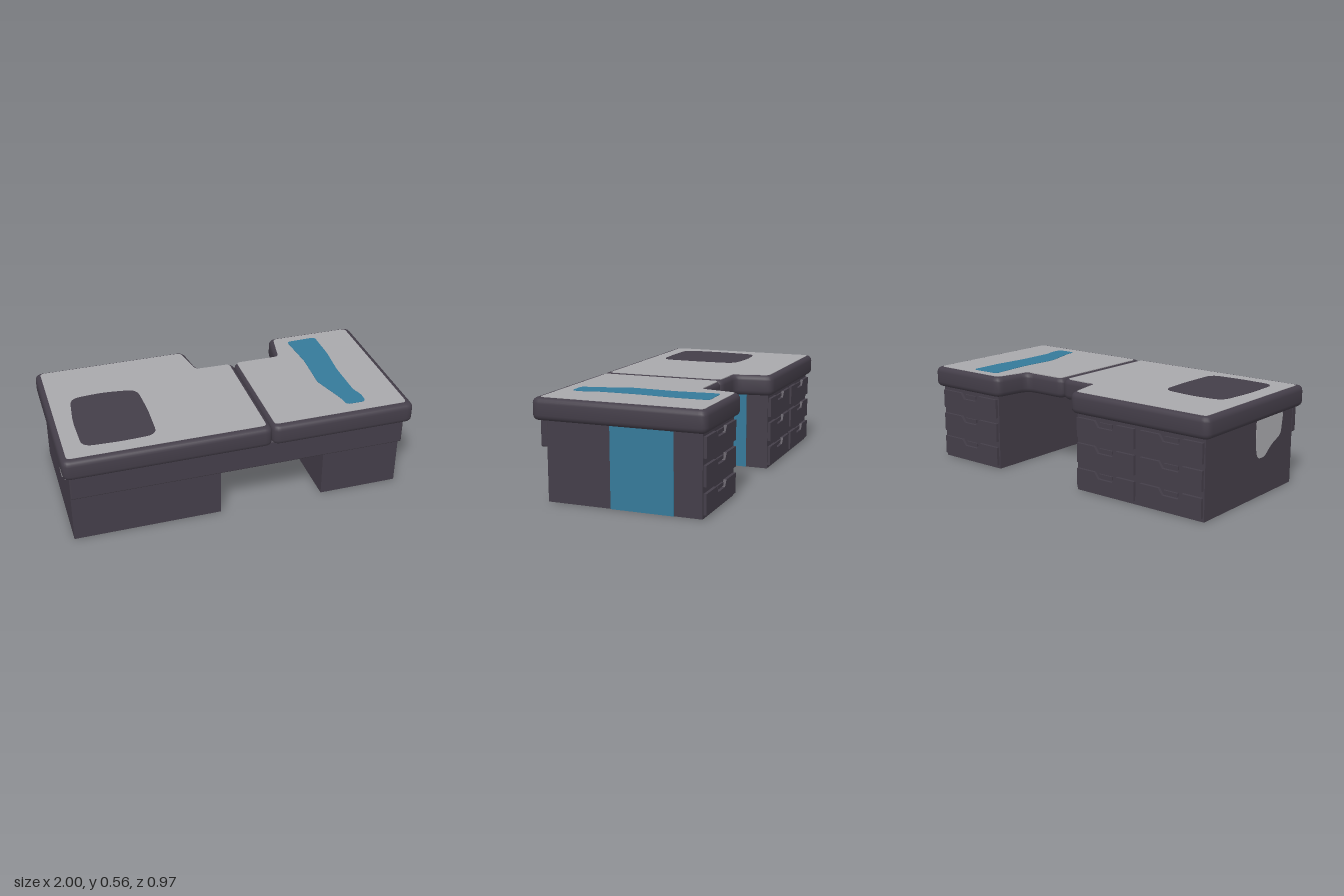
import * as THREE from 'three';
import { toCreasedNormals } from 'three/addons/utils/BufferGeometryUtils.js';
import { RoundedBoxGeometry } from 'three/addons/geometries/RoundedBoxGeometry.js';

const material = (name, color) => {
  const m = new THREE.MeshStandardMaterial({ color });
  m.name = name;
  return m;
};

// Closed outline with each corner cut by a small curve of reach r
function roundedShape(points, r = 0) {
  const pts = points.map(([x, y]) => new THREE.Vector2(x, y));
  if (!r) return new THREE.Shape(pts);
  const shape = new THREE.Shape();
  pts.forEach((p, i) => {
    const toward = (q) => p.clone().add(q.clone().sub(p).setLength(Math.min(r, q.distanceTo(p) * 0.45)));
    const a = toward(pts[(i + pts.length - 1) % pts.length]);
    const b = toward(pts[(i + 1) % pts.length]);
    if (i === 0) shape.moveTo(a.x, a.y);
    else shape.lineTo(a.x, a.y);
    shape.quadraticCurveTo(p.x, p.y, b.x, b.y);
  });
  shape.closePath();
  return shape;
}

export function createModel() {
  const group = new THREE.Group();
  const dark = material('charcoal', 0x443e49);
  const grey = material('topGrey', 0xa9a8ac);
  const blue = material('accentBlue', 0x357a9a);

  const add = (name, geometry, mat, x = 0, y = 0, z = 0) => {
    const mesh = new THREE.Mesh(geometry, mat);
    mesh.name = name;
    mesh.position.set(x, y, z);
    group.add(mesh);
    return mesh;
  };
  const box = (name, mat, [x0, x1], [y0, y1], [z0, z1]) =>
    add(name, new THREE.BoxGeometry(x1 - x0, y1 - y0, z1 - z0), mat,
      (x0 + x1) / 2, (y0 + y1) / 2, (z0 + z1) / 2);

  // Horizontal plate from an outline given in x, z
  const plate = (name, mat, outline, r, y, depth) => {
    const g = new THREE.ExtrudeGeometry(roundedShape(outline.map(([x, z]) => [x, -z]), r),
      { depth, bevelEnabled: false, curveSegments: 5 });
    g.rotateX(-Math.PI / 2);
    return add(name, g, mat, 0, y, 0);
  };

  // Two worktop slabs with rounded rims
  const slab = (name, outline) => {
    const bevel = 0.03;
    const g = new THREE.ExtrudeGeometry(roundedShape(outline.map(([x, z]) => [x, -z]), 0.045), {
      depth: 0.12 - 2 * bevel, bevelThickness: bevel, bevelSize: bevel,
      bevelOffset: -bevel, bevelSegments: 4, curveSegments: 4,
    });
    g.rotateX(-Math.PI / 2);
    add(name, toCreasedNormals(g, 0.7), dark, 0, 0.44 + bevel, 0);
  };
  slab('rightWorktop', [[-1, 0.485], [0.16, 0.485], [0.16, -0.265], [-0.06, -0.265], [-0.09, -0.485], [-1, -0.485]]);
  slab('leftWorktop', [[0.16, 0.485], [1, 0.485], [1, -0.485], [0.46, -0.485], [0.43, -0.265], [0.16, -0.265]]);

  // Grey writing surfaces
  plate('rightSurface', grey,
    [[-0.97, 0.447], [0.132, 0.447], [0.132, -0.245], [-0.075, -0.25], [-0.115, -0.457], [-0.97, -0.457]], 0.025, 0.557, 0.005);
  plate('leftSurface', grey,
    [[0.18, 0.447], [0.965, 0.447], [0.965, -0.457], [0.485, -0.457], [0.445, -0.25], [0.18, -0.25]], 0.025, 0.557, 0.005);

  // Dark mat and blue runner on the surfaces
  plate('deskMat', dark,
    [[-0.87, 0.355], [-0.66, 0.365], [-0.46, 0.355], [-0.453, 0.1], [-0.465, -0.12], [-0.66, -0.145], [-0.85, -0.13], [-0.875, 0.1]],
    0.06, 0.56, 0.004);
  plate('blueRunner', blue,
    [[0.555, -0.4], [0.74, -0.405], [0.742, -0.2], [0.725, 0], [0.728, 0.24], [0.75, 0.3], [0.747, 0.375],
      [0.63, 0.375], [0.625, 0.31], [0.562, 0.1], [0.575, -0.15]],
    0.025, 0.56, 0.004);

  // Drawer pedestals and front apron
  box('rightPedestal', dark, [-0.965, -0.12], [0, 0.45], [-0.45, 0.415]);
  box('leftPedestal', dark, [0.49, 0.955], [0, 0.45], [-0.45, 0.415]);
  add('frontApron', new RoundedBoxGeometry(1.925, 0.155, 0.042, 2, 0.008), dark, -0.005, 0.3725, 0.43);

  // Drawer fronts with a trapezoid finger notch in the top edge
  const drawer = (x0, x1) => {
    const w = (x1 - x0) / 2, h = 0.11;
    const g = new THREE.ExtrudeGeometry(roundedShape([
      [-w, 0], [w, 0], [w, h], [0.075, h], [0.05, h - 0.035], [-0.05, h - 0.035], [-0.075, h], [-w, h],
    ]), { depth: 0.018, bevelEnabled: false });
    for (const y of [0.02, 0.165, 0.31]) {
      add('drawerFront', g, dark, (x0 + x1) / 2, y, -0.467);
      box('drawerPull', dark, [(x0 + x1) / 2 - 0.045, (x0 + x1) / 2 + 0.045], [y + h - 0.025, y + h - 0.006], [-0.46, -0.449]);
    }
  };
  drawer(-0.957, -0.562);
  drawer(-0.523, -0.128);
  drawer(0.5, 0.945);

  // Blue side bands, the outer one folding just under the pedestal
  box('outerBlueBand', blue, [0.953, 0.957], [0, 0.442], [-0.296, 0.055]);
  box('underBlueBand', blue, [0.9, 0.957], [0, 0.004], [-0.296, 0.055]).position.y = 0.001;
  box('innerBlueBand', blue, [-0.122, -0.117], [0, 0.442], [-0.32, -0.04]);

  // Grey patch on the far side of the large pedestal
  const patch = new THREE.ExtrudeGeometry(roundedShape([
    [0.03, 0.44], [0.03, 0.3], [0.05, 0.22], [0.12, 0.215], [0.19, 0.27], [0.29, 0.31], [0.31, 0.44],
  ], 0.03), { depth: 0.004, bevelEnabled: false, curveSegments: 4 });
  patch.rotateY(-Math.PI / 2);
  add('sidePatch', patch, grey, -0.963, 0, 0);

  return group;
}
